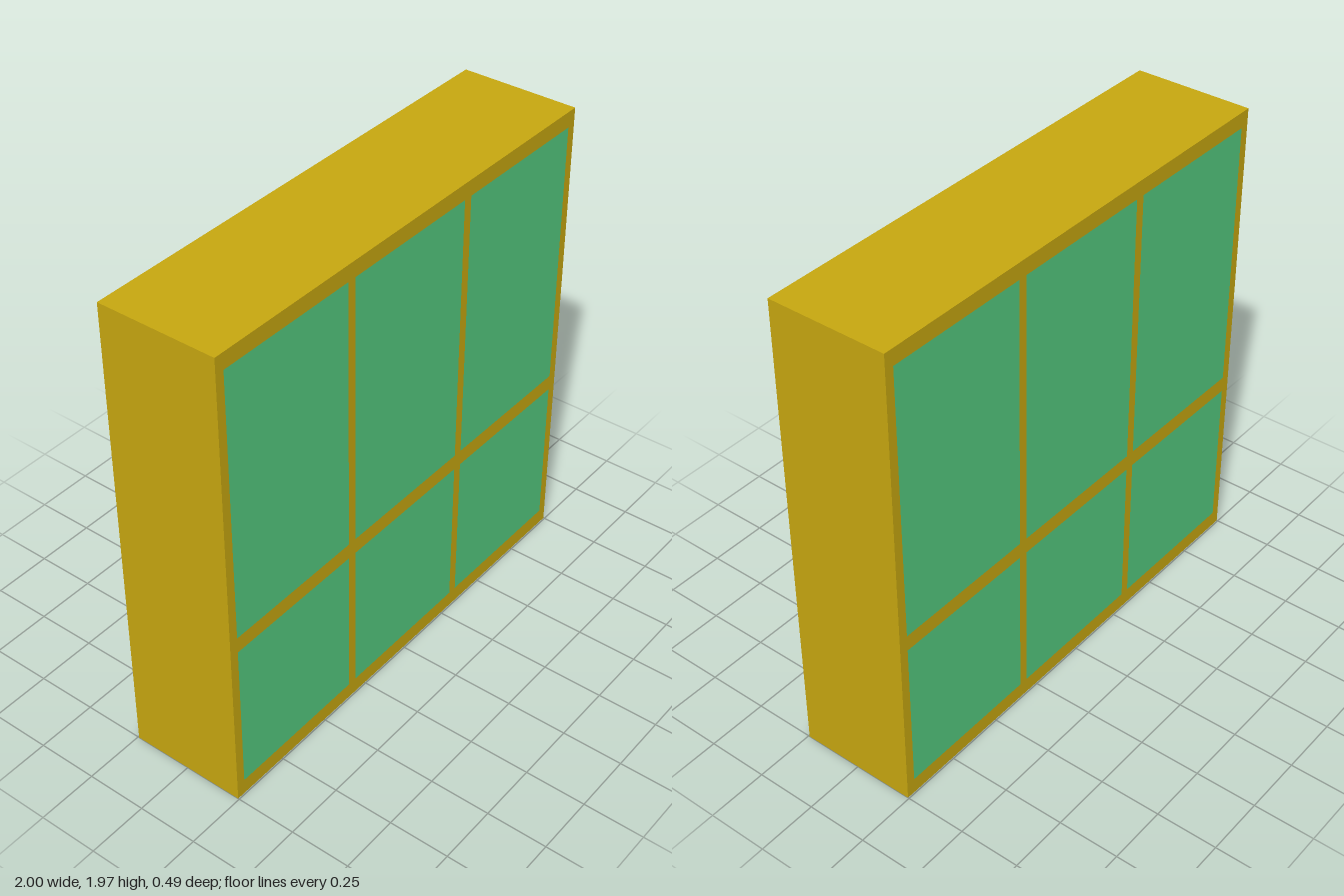
import * as THREE from 'three';

const WIDTH = 2, HEIGHT = 1.965, DEPTH = 0.49;
const POST = 0.0375; // width of upright bars
const RAIL = 0.066; // height of horizontal bars
const PANE_WIDTH = (WIDTH - 4 * POST) / 3;
const ROWS = [[RAIL, 0.706], [0.706 + RAIL, HEIGHT - RAIL]]; // bottom and top of each pane row

function rectangle(target, x0, y0, x1, y1) {
  target.moveTo(x0, y0);
  target.lineTo(x1, y0);
  target.lineTo(x1, y1);
  target.lineTo(x0, y1);
  target.closePath();
  return target;
}

export function createModel() {
  const group = new THREE.Group();
  group.name = 'window';
  const frameMaterial = new THREE.MeshStandardMaterial({ color: 0xc8a810 });
  const paneMaterial = new THREE.MeshStandardMaterial({ color: 0x55cb80 });
  const outline = rectangle(new THREE.Shape(), -WIDTH / 2, 0, WIDTH / 2, HEIGHT);

  // Panes fill the openings, flush with the frame on both sides
  ROWS.forEach(([bottom, top], row) => {
    for (let col = 0; col < 3; col++) {
      const left = -WIDTH / 2 + POST + col * (PANE_WIDTH + POST);
      outline.holes.push(rectangle(new THREE.Path(), left, bottom, left + PANE_WIDTH, top));
      const pane = new THREE.Mesh(new THREE.BoxGeometry(PANE_WIDTH, top - bottom, DEPTH), paneMaterial);
      pane.position.set(left + PANE_WIDTH / 2, (bottom + top) / 2, 0);
      pane.name = `${row ? 'upper' : 'lower'}Pane${col + 1}`;
      group.add(pane);
    }
  });

  // Frame with its dividing bars
  const geometry = new THREE.ExtrudeGeometry(outline, { depth: DEPTH, bevelEnabled: false });
  geometry.translate(0, 0, -DEPTH / 2);
  const frame = new THREE.Mesh(geometry, frameMaterial);
  frame.name = 'frame';
  group.add(frame);
  return group;
}
